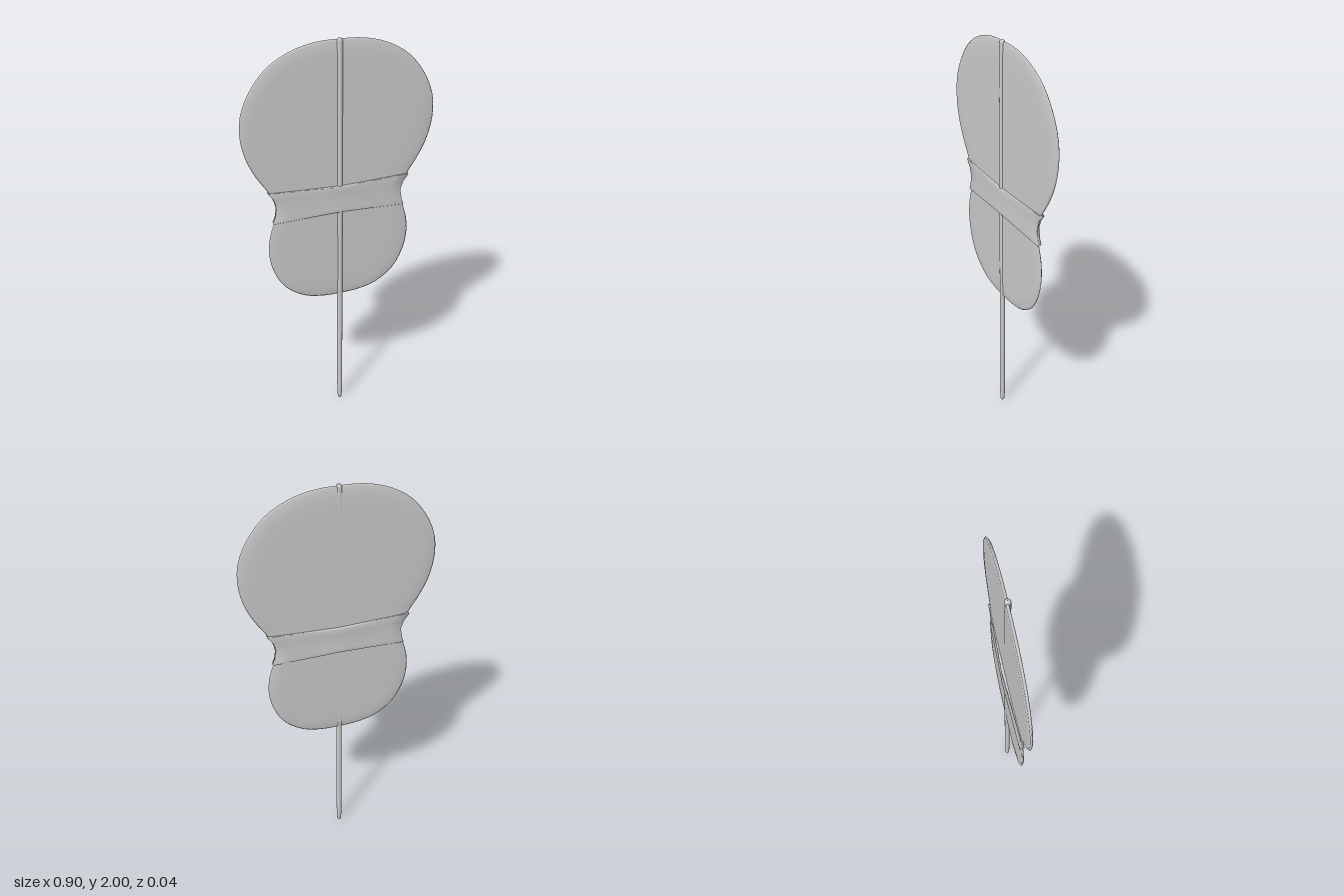
import * as THREE from 'three';

const material = new THREE.MeshStandardMaterial({ color: 0xcccccc, side: THREE.DoubleSide });

// Joins equal-length closed loops of points into one smooth skin; ends close to a centre point.
function loft(name, loops, startCentre, endCentre) {
  const n = loops[0].length;
  const pos = [], idx = [];
  loops.forEach(loop => loop.forEach(p => pos.push(...p)));
  pos.push(...startCentre, ...endCentre);
  const s = loops.length * n, e = s + 1;
  for (let j = 0; j < n; j++) {
    const k = (j + 1) % n;
    for (let i = 0; i < loops.length - 1; i++) {
      const a = i * n + j, b = i * n + k;
      idx.push(a, b, a + n, b, b + n, a + n);
    }
    const last = (loops.length - 1) * n;
    idx.push(s, k, j, e, last + j, last + k);
  }
  const geo = new THREE.BufferGeometry();
  geo.setAttribute('position', new THREE.Float32BufferAttribute(pos, 3));
  geo.setIndex(idx);
  geo.computeVertexNormals();
  const mesh = new THREE.Mesh(geo, material);
  mesh.name = name;
  return mesh;
}

// Two-lobed flat paddle: the outline is inset in steps on the back and front.
function makePaddle() {
  const half = [[0.11, 1.99], [0.22, 1.96], [0.32, 1.9], [0.395, 1.81], [0.44, 1.71], [0.45, 1.61],
    [0.43, 1.5], [0.39, 1.41], [0.335, 1.32], [0.308, 1.25], [0.315, 1.18], [0.342, 1.09],
    [0.35, 1.0], [0.332, 0.9], [0.28, 0.8], [0.19, 0.73], [0.1, 0.705]];
  const left = half.map(([x, y]) => [-x, y]);
  const outline = [[0, 1.995], ...left, [0, 0.7], ...half.slice().reverse()]; // counter-clockwise
  const curve = new THREE.CatmullRomCurve3(outline.map(([x, y]) => new THREE.Vector3(x, y, 0)), true);
  const n = 96;
  const ring = (inset, z) => Array.from({ length: n }, (_, i) => {
    const p = curve.getPointAt(i / n), t = curve.getTangentAt(i / n);
    return [p.x - t.y * inset, p.y + t.x * inset, z];
  });
  const loops = [ring(0.11, -0.011), ring(0.05, -0.01), ring(0.008, -0.007), ring(0, -0.001),
    ring(0.008, 0.005), ring(0.05, 0.007), ring(0.11, 0.008)];
  return loft('paddle', loops, [0, 1.25, -0.011], [0, 1.25, 0.008]);
}

// Band wrapped over the waist: thick in the middle, pinched between two flared rims.
function makeBand() {
  // end y, middle y, half width, bulge
  const levels = [[1.163, 1.177, 0.312, 0.8], [1.165, 1.18, 0.323, 1], [1.19, 1.2, 0.312, 0.95],
    [1.245, 1.245, 0.303, 0.85], [1.285, 1.28, 0.315, 0.95], [1.322, 1.308, 0.341, 1], [1.325, 1.312, 0.33, 0.8]];
  const steps = 10;
  const loops = levels.map(([yEnd, yMid, w, bulge]) => {
    const pts = [];
    for (const side of [1, -1]) {
      for (let i = 0; i <= steps; i++) {
        const u = side * (-1 + 2 * i / steps);
        const a = Math.abs(u);
        const depth = side > 0 ? 0.019 - 0.01 * a : -0.024 + 0.011 * a;
        pts.push([u * (a === 1 ? w : w * 0.99), THREE.MathUtils.lerp(yMid, yEnd, a), depth * bulge]);
      }
    }
    return pts;
  });
  return loft('band', loops, [0, 1.177, -0.003], [0, 1.312, -0.003]);
}

// Slim round stick with a rounded top and a slightly tapered foot.
function makeStick() {
  const profile = [[0, 0], [0.007, 0.001], [0.01, 0.006], [0.0125, 0.04], [0.0135, 0.1],
    [0.0135, 1.988], [0.01, 1.997], [0, 2]].map(([r, y]) => new THREE.Vector2(r, y));
  const mesh = new THREE.Mesh(new THREE.LatheGeometry(profile, 20), material);
  mesh.position.z = 0.002;
  mesh.name = 'stick';
  return mesh;
}

export function createModel() {
  const group = new THREE.Group();
  group.name = 'paddleFan';
  group.add(makePaddle(), makeBand(), makeStick());
  return group;
}
